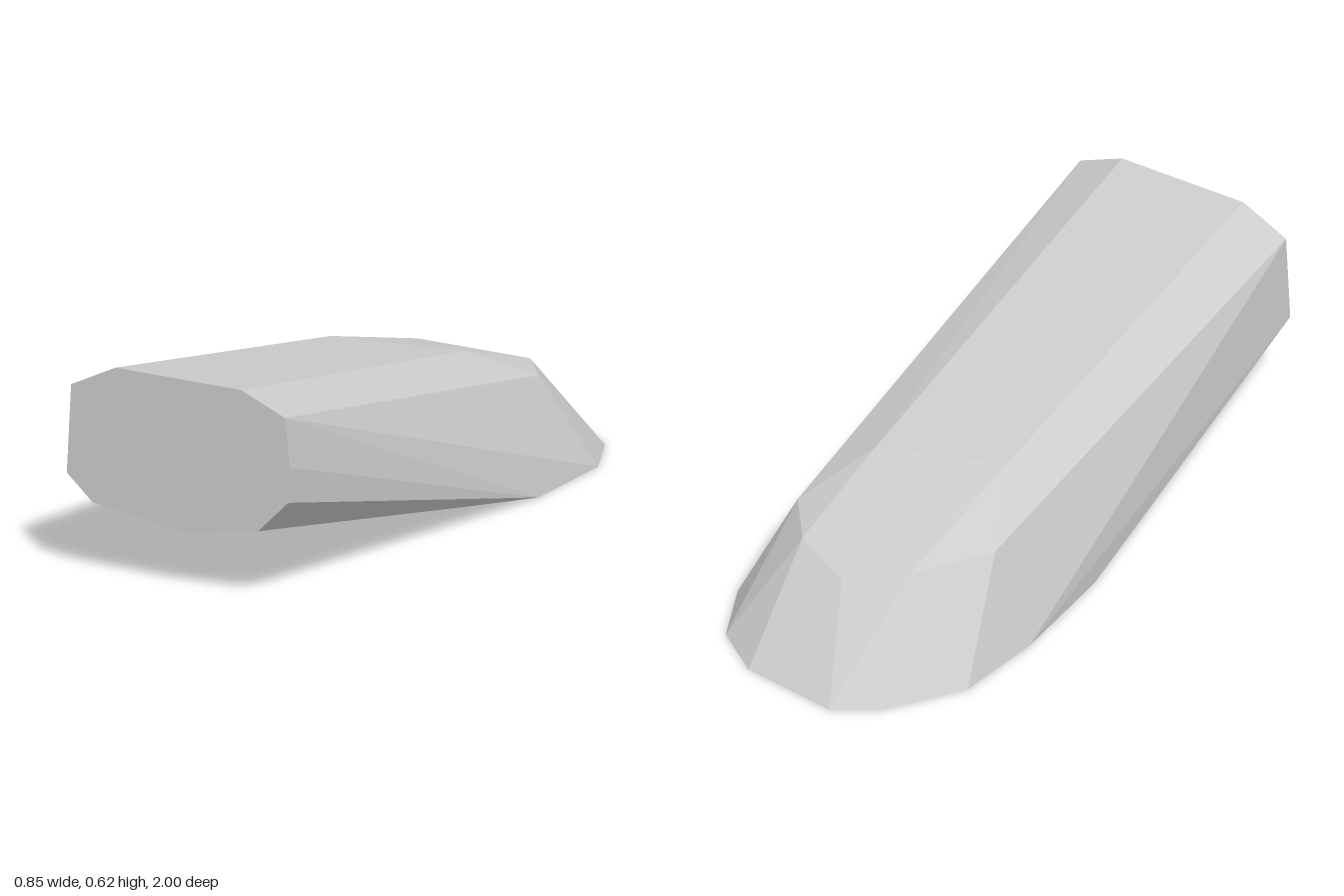
import * as THREE from 'three';
import { ConvexGeometry } from 'three/addons/geometries/ConvexGeometry.js';

// Faceted slanting rock: the convex skin around three rings of corners.
export function createModel() {
  const group = new THREE.Group();
  group.name = 'slantedRock';

  const stone = new THREE.MeshStandardMaterial({ color: 0xcccccc, flatShading: true });
  stone.name = 'pale grey stone';

  // flat front end at z = 1, as x, y
  const frontEnd = [
    [-0.35, 0.55], [-0.205, 0.62], [0.205, 0.614], [0.347, 0.553], [0.364, 0.41],
    [0.358, 0.305], [0.26, 0.207], [0.01, 0.168], [-0.28, 0.213], [-0.364, 0.288],
  ].map(([x, y]) => new THREE.Vector3(x, y, 1));

  // footprint on the ground, as x, z
  const footprint = [
    [-0.13, -1], [0.17, -0.96], [0.32, -0.85], [0.412, -0.65], [0.421, -0.3],
    [0.3, -0.13], [-0.315, 0.08], [-0.405, -0.06], [-0.425, -0.42], [-0.4, -0.7], [-0.26, -0.91],
  ].map(([x, z]) => new THREE.Vector3(x, 0, z));

  // shoulders where the top slopes down to the back
  const shoulders = [
    [-0.2, 0.409, -0.2], [0.17, 0.391, -0.31], [-0.32, 0.292, -0.44], [0.295, 0.285, -0.52],
    [-0.18, 0.288, -0.66], [0.18, 0.28, -0.67], [0, 0.244, -0.74],
  ].map((p) => new THREE.Vector3(...p));

  const rock = new THREE.Mesh(new ConvexGeometry([...frontEnd, ...footprint, ...shoulders]), stone);
  rock.name = 'rockBody';
  group.add(rock);
  return group;
}
